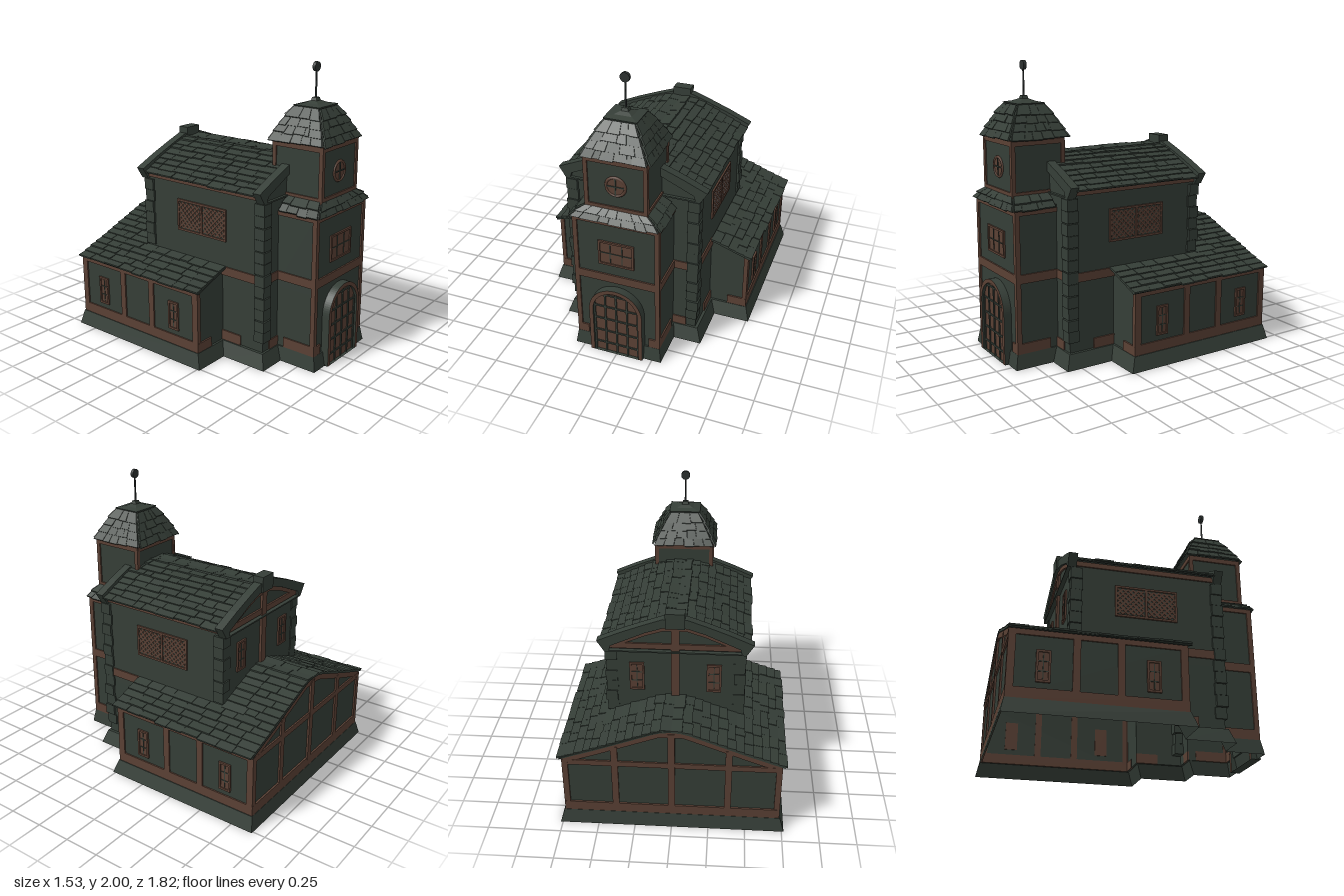
import * as THREE from 'three';
import { mergeGeometries } from 'three/addons/utils/BufferGeometryUtils.js';

const V = (x, y, z) => new THREE.Vector3(x, y, z);
const green = new THREE.MeshStandardMaterial({ color: 0x353e37, side: THREE.DoubleSide });
green.name = 'mossy stone';
const brown = new THREE.MeshStandardMaterial({ color: 0x5a4034 });
brown.name = 'timber';
const iron = new THREE.MeshStandardMaterial({ color: 0x2c3130 });
iron.name = 'iron';

let seed = 7;
const rnd = () => (seed = (seed * 16807) % 2147483647) / 2147483647;

function add(parent, name, geo, mat) {
  const m = new THREE.Mesh(geo, mat);
  m.name = name;
  parent.add(m);
  return m;
}
// box given by its extents
function bx(x0, x1, y0, y1, z0, z1) {
  return new THREE.BoxGeometry(Math.abs(x1 - x0), y1 - y0, Math.abs(z1 - z0))
    .translate((x0 + x1) / 2, (y0 + y1) / 2, (z0 + z1) / 2);
}
// slab on quad a,b,c,d with thickness t along its normal
function slab(a, b, c, d, t) {
  const n = b.clone().sub(a).cross(d.clone().sub(a)).normalize();
  const g = new THREE.BoxGeometry(1, 1, 1), p = g.attributes.position;
  for (let i = 0; i < p.count; i++) {
    const u = p.getX(i) + 0.5, v = p.getY(i) + 0.5, w = p.getZ(i) + 0.5;
    const q = a.clone().lerp(b, u).lerp(d.clone().lerp(c, u), v).addScaledVector(n, w * t);
    p.setXYZ(i, q.x, q.y, q.z);
  }
  g.computeVertexNormals();
  return g;
}
// open walls between closed rings of points
function loft(rings, capped) {
  const pos = [], n = rings[0].length;
  const tri = (...ps) => ps.forEach((p) => pos.push(p.x, p.y, p.z));
  for (let r = 0; r + 1 < rings.length; r++) for (let i = 0; i < n; i++) {
    const j = (i + 1) % n, A = rings[r], B = rings[r + 1];
    tri(A[i], A[j], B[j]);
    tri(A[i], B[j], B[i]);
  }
  const T = rings.at(-1);
  if (capped) { tri(T[0], T[1], T[2]); tri(T[0], T[2], T[3]); }
  const g = new THREE.BufferGeometry();
  g.setAttribute('position', new THREE.Float32BufferAttribute(pos, 3));
  g.computeVertexNormals();
  return g;
}
const rect = (x, z0, z1, y) => [V(x, y, z1), V(x, y, z0), V(-x, y, z0), V(-x, y, z1)];
// mirrored footprint from right-hand points [x, z]
const outline = (pts, y) => [...pts.map(([x, z]) => V(x, y, z)),
  ...pts.slice().reverse().map(([x, z]) => V(-x, y, z))];
const both = (pts) => [...pts, ...pts.slice().reverse().map(([x, y]) => [-x, y])];
const vec2 = (pts) => pts.map(([x, y]) => new THREE.Vector2(x, y));

// one row of uneven overlapping tiles: lower edge a-b, upper edge d-c
function tileRow(out, a, b, c, d, w) {
  const n = Math.max(1, Math.round(a.distanceTo(b) / w));
  const cuts = [...Array(n + 1)].map((_, i) => (i === 0 || i === n ? i : i + (rnd() - 0.5) * 0.6) / n);
  const up = b.clone().sub(a).cross(d.clone().sub(a)).normalize();
  for (let i = 0; i < n; i++) {
    const drop = 1.1 + rnd() * 0.2, lift = 0.006 + rnd() * 0.007, end = cuts[i + 1] - 0.03 / n;
    const hi0 = d.clone().lerp(c, cuts[i]), hi1 = d.clone().lerp(c, end);
    const l0 = hi0.clone().lerp(a.clone().lerp(b, cuts[i]), drop).addScaledVector(up, lift);
    const l1 = hi1.clone().lerp(a.clone().lerp(b, end), drop).addScaledVector(up, lift);
    out.push(slab(l0, l1, hi1, hi0, 0.012));
  }
}
// gabled roof from a half profile; zFront(x) gives where each row starts
function gableRoof(parent, name, pts, rows, zFront, zBack) {
  const path = new THREE.CurvePath();
  pts.slice(1).forEach(([x, y], i) => path.add(new THREE.LineCurve3(V(...pts[i], 0), V(x, y, 0))));
  const P = path.getSpacedPoints(rows), tiles = [];
  for (const s of [1, -1]) for (let i = 0; i < rows; i++) {
    const p = P[i], q = P[i + 1], zf = zFront((p.x + q.x) / 2);
    const f = s > 0 ? zf : zBack, k = s > 0 ? zBack : zf;
    const c = [V(s * p.x, p.y, f), V(s * p.x, p.y, k), V(s * q.x, q.y, k), V(s * q.x, q.y, f)];
    tileRow(tiles, ...c, 0.13);
    tiles.push(slab(...c, 0.009));
  }
  add(parent, name, mergeGeometries(tiles), green);
}
// hipped tiled roof from stacked rectangles [x, z0, z1, y]
function hipRoof(parent, name, levels, sides, w) {
  const R = levels.map((l) => rect(...l)), tiles = [];
  for (let r = 0; r + 1 < R.length; r++) for (const k of sides) {
    const j = (k + 1) % 4;
    tileRow(tiles, R[r][k], R[r][j], R[r + 1][j], R[r + 1][k], w);
  }
  add(parent, name, mergeGeometries(tiles), green);
  add(parent, name + 'Deck', loft(R), green);
}
// framed window facing +z, then turned and placed
function windowAt(parent, name, x, y, z, turn, w, h, cols, rows, lattice) {
  const g = new THREE.Group();
  g.name = name;
  const f = 0.014, out = 0.012, frame = [], bars = [];
  for (const s of [-1, 1]) {
    frame.push(bx(s * w / 2, s * (w / 2 - f), -h / 2, h / 2, -0.005, out));
    frame.push(bx(-w / 2, w / 2, s * h / 2 - f / 2, s * h / 2 + f / 2, -0.005, out));
  }
  if (lattice) {
    frame.push(bx(-0.008, 0.008, -h / 2, h / 2, -0.005, out));
    for (const c of [-w / 4, w / 4]) for (const s of [-1, 1]) for (let i = -5; i <= 5; i++) {
      // clip each diagonal to its pane
      const hw = w / 4 - f, hh = h / 2 - f, o = i * 0.036;
      const u0 = Math.max(-hw, -hh - o), u1 = Math.min(hw, hh - o);
      if (u1 - u0 > 0.01) bars.push(new THREE.BoxGeometry((u1 - u0) * Math.SQRT2, 0.012, 0.006)
        .rotateZ(s * Math.PI / 4).translate(c + (u0 + u1) / 2, s * ((u0 + u1) / 2 + o), 0.006));
    }
    add(g, 'lattice', mergeGeometries(bars), brown);
  } else {
    const t = 0.003;
    for (let i = 1; i < cols; i++) bars.push(bx(-w / 2 + w * i / cols - t, -w / 2 + w * i / cols + t, -h / 2 + f, h / 2 - f, 0, 0.008));
    for (let i = 1; i < rows; i++) bars.push(bx(-w / 2 + f, w / 2 - f, -h / 2 + h * i / rows - t, -h / 2 + h * i / rows + t, 0, 0.008));
    add(g, 'glazingBars', mergeGeometries(bars), green);
  }
  add(g, 'frame', mergeGeometries(frame), brown);
  add(g, 'pane', bx(-w / 2, w / 2, -h / 2, h / 2, -0.005, 0.004), lattice ? green : brown);
  g.position.set(x, y, z);
  g.rotation.y = turn;
  parent.add(g);
}
function gableWall(parent, name, pts, z) {
  add(parent, name, new THREE.ShapeGeometry(new THREE.Shape(vec2(pts))).translate(0, 0, z), green);
}

export function createModel() {
  const G = new THREE.Group();
  G.name = 'church';
  // flared plinth and walls, open underneath
  const foot = [[0.29, 0.855], [0.29, 0.56], [0.455, 0.56], [0.455, 0.22], [0.72, 0.22], [0.72, -0.875]];
  const flare = [[0.315, 0.885], [0.315, 0.61], [0.51, 0.61], [0.51, 0.27], [0.765, 0.27], [0.765, -0.91]];
  const lip = [[0.3, 0.867], [0.3, 0.575], [0.475, 0.575], [0.475, 0.235], [0.735, 0.235], [0.735, -0.89]];
  add(G, 'plinth', loft([outline(flare, 0), outline(lip, 0.1), outline(foot, 0.1)]), green);
  add(G, 'groundWalls', loft([outline(foot, 0.1), outline(foot, 0.53)]), green);
  add(G, 'naveWalls', loft([rect(0.455, -0.47, 0.56, 0.53), rect(0.455, -0.47, 0.56, 1.18)]), green);
  add(G, 'towerWalls', loft([rect(0.29, 0.55, 0.855, 0.53), rect(0.29, 0.55, 0.855, 1.08)]), green);
  add(G, 'belfryWalls', loft([rect(0.205, 0.455, 0.83, 1.06), rect(0.205, 0.455, 0.83, 1.5)]), green);

  // gables and roofs
  const naveGable = both([[0.455, 1.18], [0.2, 1.31], [0.08, 1.35]]);
  gableWall(G, 'naveFrontGable', naveGable, 0.56);
  gableWall(G, 'naveBackGable', naveGable, -0.47);
  gableWall(G, 'annexBackGable', both([[0.72, 0.53], [0.47, 0.625], [0.08, 0.775]]), -0.875);
  for (const s of [1, -1]) gableWall(G, 'annexFrontGable', [[s * 0.72, 0.53], [s * 0.45, 0.63], [s * 0.45, 0.53]], 0.22);
  gableRoof(G, 'naveRoof', [[0.49, 1.185], [0.2, 1.32], [0.08, 1.362], [0, 1.365]], 9, () => 0.53, -0.45);
  gableRoof(G, 'annexRoof', [[0.745, 0.532], [0.47, 0.63], [0.08, 0.78], [0, 0.785]], 13, (x) => (x > 0.45 ? 0.255 : -0.47), -0.89);
  hipRoof(G, 'pentRoof', [[0.298, 0.575, 0.872, 1.06], [0.26, 0.575, 0.852, 1.1], [0.2, 0.575, 0.825, 1.14]], [0, 2, 3], 0.08);
  const R = [[0.215, 1.505], [0.19, 1.555], [0.163, 1.605], [0.135, 1.655], [0.1, 1.71]];
  hipRoof(G, 'towerRoof', R.map(([h, y]) => [h, 0.635 - h * 0.95, 0.635 + h * 0.95, y]), [0, 1, 2, 3], 0.075);
  const cap = [[0.095, 1.69], [0.112, 1.725], [0.06, 1.735], [0.025, 1.75], [0.018, 1.77]];
  add(G, 'towerCap', loft(cap.map(([h, y]) => rect(h, 0.635 - h * 0.9, 0.635 + h * 0.9, y)), true), green);
  add(G, 'finialPole', new THREE.CylinderGeometry(0.006, 0.007, 0.2, 8).translate(0, 1.85, 0.635), iron);
  add(G, 'finialDisc', new THREE.CylinderGeometry(0.032, 0.032, 0.022, 20).rotateX(Math.PI / 2).translate(0, 1.968, 0.635), iron);

  // stone copings over both nave gables, hollow below
  const coping = new THREE.Shape(vec2(both([[0.47, 1.14], [0.52, 1.22], [0.36, 1.29], [0.2, 1.352], [0.08, 1.395]])));
  coping.holes.push(new THREE.Path(vec2(both([[0.44, 1.15], [0.43, 1.185], [0.2, 1.29], [0.08, 1.33]]))));
  for (const z of [0.52, -0.5]) add(G, 'gableCoping', new THREE.ExtrudeGeometry(coping, { depth: 0.06, bevelEnabled: false }).translate(0, 0, z), green);
  add(G, 'ridgeStone', bx(-0.065, 0.065, 1.33, 1.44, -0.51, -0.43), green);

  // corner stones; the rear ones stand above the annex roof
  const stones = [];
  for (const s of [1, -1]) for (const e of [1, -1]) for (let i = e > 0 ? 0 : 6; i < 12; i++) {
    const y = 0.17 + i * 0.081, o = (i % 2 ? 0.007 : 0) + rnd() * 0.004, z = e > 0 ? 0.537 : -0.433;
    stones.push(bx(s * (0.385 + o), s * (0.465 + o), y, y + 0.077, z - e * (0.042 - o), z + e * (0.037 + o)));
  }
  add(G, 'cornerStones', mergeGeometries(stones), green);

  // timber frame
  const T = [];
  for (const s of [1, -1]) {
    const side = (x, y0, y1, z0, z1) => T.push(bx(s * (x - 0.003), s * (x + 0.01), y0, y1, z0, z1));
    side(0.72, 0.1, 0.17, -0.885, 0.23);
    side(0.72, 0.5, 0.535, -0.885, 0.23);
    for (const z of [0.205, -0.195, -0.47, -0.863]) side(0.72, 0.15, 0.52, z - 0.023, z + 0.023);
    side(0.455, 0.1, 0.17, 0.22, 0.38);
    side(0.455, 0.58, 0.64, 0.22, 0.56);
    side(0.455, 1.155, 1.19, -0.47, 0.55);
    side(0.29, 0.1, 0.17, 0.62, 0.863);
    side(0.29, 0.58, 0.64, 0.56, 0.863);
    side(0.29, 1.03, 1.06, 0.56, 0.863);
    side(0.29, 0.1, 1.06, 0.832, 0.865);
    side(0.205, 1.13, 1.165, 0.45, 0.838);
    side(0.205, 1.465, 1.5, 0.45, 0.838);
    for (const z of [0.463, 0.825]) side(0.205, 1.13, 1.5, z - 0.014, z + 0.014);
    // front and rear posts and sills
    T.push(bx(s * 0.59, s * 0.73, 0.1, 0.165, 0.217, 0.232));
    T.push(bx(s * 0.7, s * 0.73, 0.15, 0.535, 0.217, 0.231));
    T.push(bx(s * 0.29, s * 0.462, 0.58, 0.64, 0.557, 0.568));
    T.push(bx(s * 0.29, s * 0.385, 0.1, 0.165, 0.557, 0.568));
    T.push(bx(s * 0.22, s * 0.3, 0.1, 0.165, 0.852, 0.866));
    T.push(bx(s * 0.268, s * 0.3, 0.1, 1.06, 0.852, 0.866));
    T.push(bx(s * 0.187, s * 0.215, 1.13, 1.5, 0.827, 0.84));
    T.push(bx(s * 0.187, s * 0.215, 1.13, 1.5, 0.45, 0.457));
    T.push(bx(s * 0.355, s * 0.4, 0.15, 0.65, -0.887, -0.872));
    T.push(bx(s * 0.69, s * 0.73, 0.15, 0.53, -0.887, -0.872));
    // sloping beams under the back roofs
    const rake = (pts, z) => pts.slice(1).forEach(([x, y], i) => {
      const [px, py] = pts[i], a = V(s * px, py - 0.04, z), b = V(s * x, y - 0.04, z);
      const c = V(s * x, y, z), d = V(s * px, py, z);
      T.push(s > 0 ? slab(a, b, c, d, 0.012) : slab(b, a, d, c, 0.012));
    });
    rake([[0.73, 0.535], [0.47, 0.63], [0.08, 0.78], [0, 0.782]], -0.873);
    rake([[0.43, 1.2], [0.2, 1.3], [0.08, 1.34], [0, 1.342]], -0.473);
  }
  T.push(bx(-0.73, 0.73, 0.1, 0.17, -0.888, -0.872));
  T.push(bx(-0.72, 0.72, 0.49, 0.53, -0.886, -0.872));
  T.push(bx(-0.023, 0.023, 0.15, 0.77, -0.889, -0.872));
  T.push(bx(-0.45, 0.45, 1.16, 1.2, -0.483, -0.467));
  T.push(bx(-0.028, 0.028, 0.78, 1.34, -0.488, -0.467));
  T.push(bx(-0.3, 0.3, 0.58, 0.64, 0.852, 0.866));
  T.push(bx(-0.3, 0.3, 1.03, 1.06, 0.852, 0.866));
  T.push(bx(-0.21, 0.21, 1.13, 1.165, 0.827, 0.84));
  for (const z of [0.833, 0.453]) T.push(bx(-0.21, 0.21, 1.465, 1.5, z - 0.006, z + 0.006));
  add(G, 'timberFrame', mergeGeometries(T), brown);

  // windows
  for (const s of [1, -1]) {
    const t = s * Math.PI / 2;
    for (const z of [0.01, -0.67]) windowAt(G, 'annexWindow', s * 0.72, 0.31, z, t, 0.09, 0.19, 2, 3);
    windowAt(G, 'naveWindow', s * 0.455, 0.93, 0.042, t, 0.43, 0.21, 2, 1, true);
    windowAt(G, 'backWindow', s * 0.26, 0.94, -0.47, Math.PI, 0.1, 0.2, 2, 3);
  }
  windowAt(G, 'towerWindow', 0, 0.81, 0.855, 0, 0.25, 0.17, 3, 2);
  const rose = new THREE.Group();
  rose.name = 'roundWindow';
  rose.position.set(0, 1.31, 0.83);
  add(rose, 'frame', new THREE.TorusGeometry(0.065, 0.01, 6, 28), brown);
  add(rose, 'pane', new THREE.CircleGeometry(0.066, 28).translate(0, 0, 0.003), brown);
  add(rose, 'bars', mergeGeometries([bx(-0.06, 0.06, -0.004, 0.004, 0, 0.008), bx(-0.004, 0.004, -0.06, 0.06, 0, 0.008)]), green);
  G.add(rose);

  // arched door with projecting surround
  const arch = (C, r) => new C().moveTo(r, 0).lineTo(r, 0.355).absarc(0, 0.355, r, 0, Math.PI, false).lineTo(-r, 0);
  const surround = arch(THREE.Shape, 0.19);
  surround.holes.push(arch(THREE.Path, 0.162));
  add(G, 'doorSurround', new THREE.ExtrudeGeometry(surround, { depth: 0.07, bevelEnabled: false, curveSegments: 20 }).translate(0, 0, 0.84), [brown, green]);
  add(G, 'door', new THREE.ShapeGeometry(arch(THREE.Shape, 0.165), 20).translate(0, 0, 0.888), brown);
  const bars = [];
  for (const x of [-0.155, -0.078, 0, 0.078, 0.155])
    bars.push(bx(x - 0.006, x + 0.006, 0, 0.355 + Math.sqrt(0.163 ** 2 - x * x), 0.885, 0.896));
  for (const y of [0.07, 0.175, 0.28, 0.385, 0.485]) {
    const h = y < 0.355 ? 0.16 : Math.sqrt(0.163 ** 2 - (y - 0.355) ** 2);
    bars.push(bx(-h, h, y - 0.006, y + 0.006, 0.885, 0.895));
  }
  add(G, 'doorBars', mergeGeometries(bars), green);
  return G;
}
